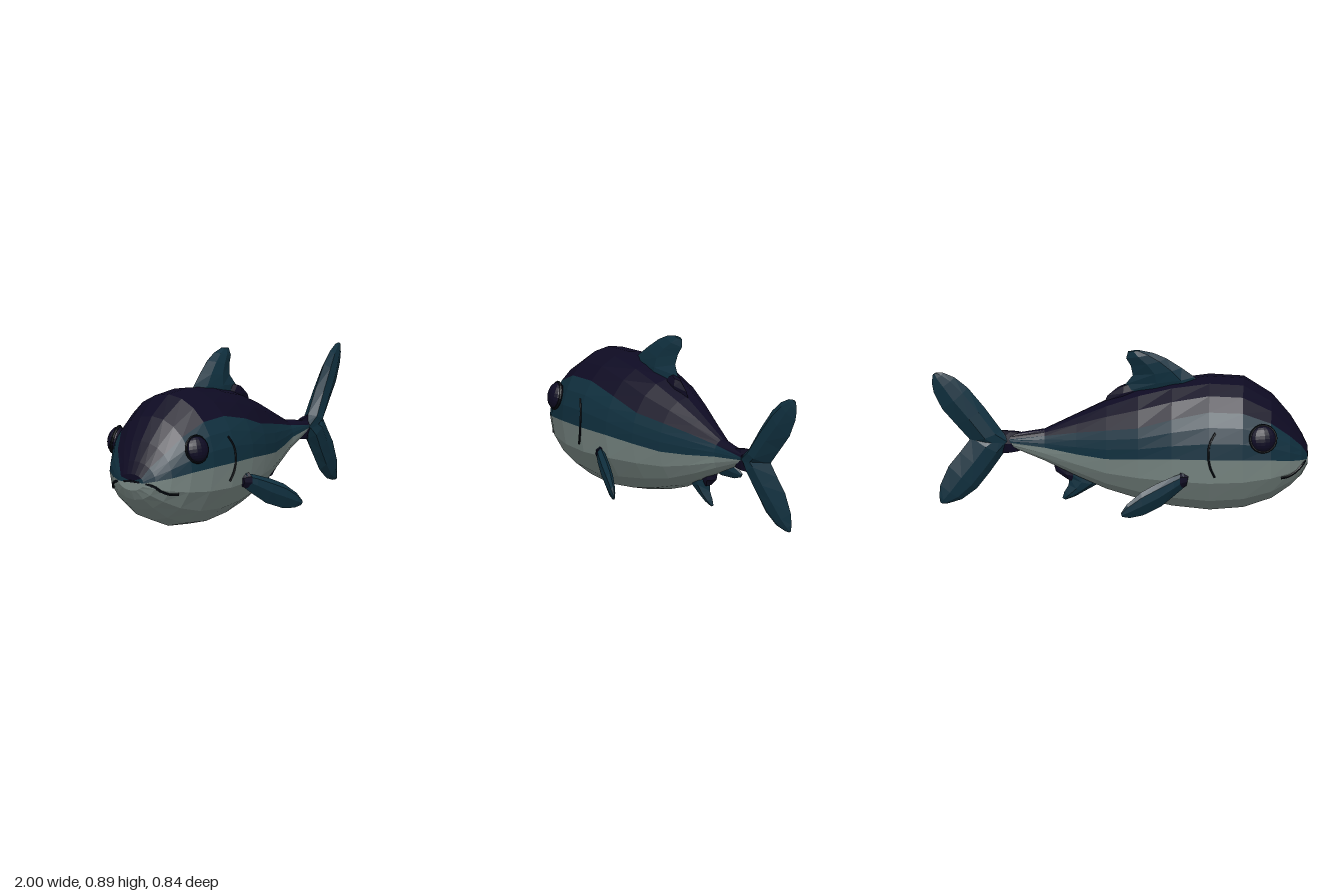
import * as THREE from 'three';

const mat = (name, color, extra = {}) =>
  Object.assign(new THREE.MeshStandardMaterial({ color, flatShading: true, ...extra }), { name });

// Body stations: x, bottom, top, half width, belly line, back line
const STATIONS = [
  [-1.0, 0.30, 0.31, 0.005, 0.304, 0.307],
  [-1.0, 0.255, 0.345, 0.08, 0.30, 0.325],
  [-0.97, 0.20, 0.41, 0.14, 0.313, 0.38],
  [-0.91, 0.14, 0.51, 0.205, 0.328, 0.45],
  [-0.81, 0.068, 0.63, 0.265, 0.35, 0.535],
  [-0.66, 0.015, 0.727, 0.302, 0.362, 0.60],
  [-0.48, 0.0, 0.737, 0.312, 0.365, 0.608],
  [-0.28, 0.02, 0.712, 0.287, 0.36, 0.565],
  [-0.1, 0.057, 0.668, 0.24, 0.343, 0.508],
  [0.07, 0.108, 0.598, 0.182, 0.326, 0.478],
  [0.23, 0.178, 0.52, 0.122, 0.333, 0.447],
  [0.4, 0.26, 0.437, 0.06, 0.35, 0.41],
  [0.6, 0.345, 0.405, 0.024, 0.366, 0.382],
  [0.6, 0.37, 0.38, 0.003, 0.374, 0.377],
];

function makeGeometry(points, index) {
  const g = new THREE.BufferGeometry();
  g.setAttribute('position', new THREE.Float32BufferAttribute(points.flat(), 3));
  g.setIndex(index);
  g.computeVertexNormals();
  return g;
}

// One colour band of the body, swept between two angles at every station
function bodyBand(range, segments) {
  const points = [], index = [], row = segments + 1;
  STATIONS.forEach(([x, bottom, top, half, belly, back], i) => {
    const c = (top + bottom) / 2, r = (top - bottom) / 2;
    const [from, to] = range(Math.asin((belly - c) / r), Math.asin((back - c) / r));
    for (let j = 0; j <= segments; j++) {
      const a = from + (to - from) * j / segments;
      points.push([x, c + r * Math.sin(a), half * Math.cos(a)]);
      if (i && j) {
        const q = i * row + j, p = q - row;
        index.push(p - 1, q - 1, q, p - 1, q, p);
      }
    }
  });
  return makeGeometry(points, index);
}

// Depth of the body's side at a given x and y
function sideZ(x, y) {
  let i = 2;
  while (i < STATIONS.length - 2 && STATIONS[i][0] < x) i++;
  const a = STATIONS[i - 1], b = STATIONS[i], t = (x - a[0]) / (b[0] - a[0]);
  const [bottom, top, half] = [1, 2, 3].map(k => a[k] + (b[k] - a[k]) * t);
  const u = (y - (top + bottom) / 2) / ((top - bottom) / 2);
  return half * Math.sqrt(Math.max(0, 1 - u * u));
}

// Fin lofted through stations: leading x, y, trailing x, y, half thickness
const SECTION = [[0, 0], [0.2, 0.85], [0.55, 1], [1, 0], [0.55, -1], [0.2, -0.85]];
function finGeometry(stations, midZ, side = 1) {
  const points = [], index = [], n = SECTION.length;
  stations.forEach(([lx, ly, tx, ty, h], i) => {
    for (const [s, w] of SECTION) {
      const x = lx + (tx - lx) * s, y = ly + (ty - ly) * s;
      points.push([x, y, side * (midZ(x, y) + w * h)]);
    }
    for (let j = 0; i && j < n; j++) {
      const k = (j + 1) % n, p = (i - 1) * n, q = i * n;
      index.push(p + j, q + j, q + k, p + j, q + k, p + k);
    }
  });
  const last = (stations.length - 1) * n;
  for (let j = 1; j < n - 1; j++) {
    index.push(0, j, j + 1, last, last + j + 1, last + j);
  }
  // Turn the faces outward when the enclosed volume is negative
  let volume = 0;
  const o = new THREE.Vector3(...points[0]);
  const at = i => new THREE.Vector3(...points[i]).sub(o);
  for (let i = 0; i < index.length; i += 3) {
    volume += at(index[i]).dot(at(index[i + 1]).cross(at(index[i + 2])));
  }
  if (volume < 0) index.reverse();
  return makeGeometry(points, index);
}

export function createModel() {
  const model = new THREE.Group();
  model.name = 'fish';
  const navy = mat('navy back', 0x0e0b23);
  const teal = mat('teal flank', 0x10303f);
  const grey = mat('grey belly', 0x7c8b87);
  const dark = mat('dark line', 0x050a12);
  const add = (name, geometry, material) => {
    const mesh = new THREE.Mesh(geometry, material);
    mesh.name = name;
    model.add(mesh);
    return mesh;
  };

  // Body in colour bands
  const PI = Math.PI;
  add('back', bodyBand((a, b) => [b, PI - b], 6), navy);
  add('leftFlank', bodyBand((a, b) => [a, b], 3), teal);
  add('rightFlank', bodyBand((a, b) => [PI - b, PI - a], 3), teal);
  add('belly', bodyBand(a => [PI - a, 2 * PI + a], 8), grey);

  // Dorsal fin, leaning slightly, with its dark rear base
  const dorsalZ = (x, y) => -0.008 - (y - 0.68) * 0.18;
  add('dorsalFin', finGeometry([
    [-0.46, 0.68, 0.03, 0.63, 0.035], [-0.40, 0.735, -0.03, 0.69, 0.042],
    [-0.33, 0.79, -0.07, 0.745, 0.042], [-0.25, 0.845, -0.06, 0.80, 0.036],
    [-0.18, 0.878, -0.035, 0.845, 0.026], [-0.11, 0.893, -0.045, 0.887, 0.01],
  ], dorsalZ), teal);
  add('dorsalFinBase', finGeometry([
    [-0.14, 0.62, 0.08, 0.59, 0.022], [-0.12, 0.67, 0.065, 0.625, 0.026],
    [-0.06, 0.695, 0.01, 0.672, 0.016],
  ], () => 0), navy);

  // Tail, swinging a little to one side, and its dark root
  const tailZ = x => -(x - 0.57) * 0.135;
  add('tailUpperLobe', finGeometry([
    [0.58, 0.39, 0.68, 0.30, 0.03], [0.63, 0.43, 0.79, 0.375, 0.047],
    [0.72, 0.56, 0.87, 0.47, 0.04], [0.81, 0.675, 0.945, 0.56, 0.033],
    [0.88, 0.735, 0.99, 0.655, 0.022], [0.94, 0.763, 1.0, 0.71, 0.012],
    [0.975, 0.766, 0.995, 0.755, 0.004],
  ], tailZ), teal);
  add('tailLowerLobe', finGeometry([
    [0.59, 0.35, 0.68, 0.44, 0.03], [0.62, 0.30, 0.79, 0.395, 0.047],
    [0.69, 0.20, 0.85, 0.315, 0.04], [0.76, 0.11, 0.91, 0.24, 0.033],
    [0.84, 0.052, 0.955, 0.135, 0.022], [0.91, 0.032, 0.96, 0.075, 0.012],
    [0.94, 0.03, 0.955, 0.04, 0.004],
  ], tailZ), teal);
  add('tailRoot', finGeometry([
    [0.52, 0.315, 0.64, 0.30, 0.015], [0.53, 0.36, 0.66, 0.36, 0.028],
    [0.52, 0.415, 0.63, 0.43, 0.012],
  ], tailZ), navy);

  // Anal fin and its dark base
  add('analFin', finGeometry([
    [0.08, 0.16, 0.30, 0.22, 0.03], [0.12, 0.13, 0.27, 0.165, 0.032],
    [0.18, 0.095, 0.272, 0.125, 0.026], [0.235, 0.062, 0.295, 0.085, 0.018],
    [0.285, 0.043, 0.305, 0.052, 0.006],
  ], () => -0.005), teal);
  add('analFinBase', finGeometry([
    [0.2, 0.21, 0.35, 0.238, 0.022], [0.22, 0.175, 0.34, 0.2, 0.025],
    [0.25, 0.15, 0.285, 0.16, 0.015],
  ], () => 0), navy);

  // Mirrored parts
  for (const side of [1, -1]) {
    const label = side > 0 ? 'left' : 'right';
    const pectoralZ = x => 0.285 + (x + 0.33) * 0.41;
    add(label + 'PectoralFin', finGeometry([
      [-0.345, 0.283, -0.345, 0.2, 0.02], [-0.29, 0.27, -0.30, 0.165, 0.028],
      [-0.2, 0.24, -0.225, 0.11, 0.03], [-0.12, 0.203, -0.13, 0.073, 0.026],
      [-0.045, 0.145, -0.06, 0.067, 0.016], [-0.012, 0.1, -0.02, 0.078, 0.004],
    ], pectoralZ, side), teal);
    add(label + 'PectoralRoot', finGeometry([
      [-0.372, 0.272, -0.36, 0.21, 0.02], [-0.325, 0.285, -0.325, 0.19, 0.026],
    ], pectoralZ, side), navy);

    // Eye: flattened dome on a thin dark rim
    const eye = new THREE.Group();
    eye.name = label + 'Eye';
    const dome = new THREE.Mesh(new THREE.SphereGeometry(0.07, 16, 12), navy);
    dome.name = 'eyeDome';
    dome.scale.z = 0.6;
    const rim = new THREE.Mesh(new THREE.TorusGeometry(0.07, 0.009, 6, 20), dark);
    rim.name = 'eyeRim';
    eye.add(dome, rim);
    eye.position.set(-0.768, 0.472, side * 0.265);
    eye.lookAt(-0.768 - 0.3, 0.472 + 0.25, side * 1.265);
    model.add(eye);

    // Gill line
    const gill = [[-0.515, 0.51], [-0.485, 0.455], [-0.477, 0.39], [-0.487, 0.32], [-0.51, 0.265]]
      .map(([x, y]) => new THREE.Vector3(x, y, side * sideZ(x, y)));
    add(label + 'GillLine', new THREE.TubeGeometry(new THREE.CatmullRomCurve3(gill), 14, 0.006, 5), dark);
  }

  // Mouth line wrapping around the snout
  const half = [[-0.86, 0.235], [-0.9, 0.237], [-0.94, 0.255], [-0.975, 0.285]]
    .map(([x, y]) => new THREE.Vector3(x, y, sideZ(x, y)));
  const mirrored = half.map(p => new THREE.Vector3(p.x, p.y, -p.z)).reverse();
  const mouth = [...half, new THREE.Vector3(-0.997, 0.305, 0), ...mirrored];
  add('mouthLine', new THREE.TubeGeometry(new THREE.CatmullRomCurve3(mouth), 32, 0.008, 5), dark);

  return model;
}
